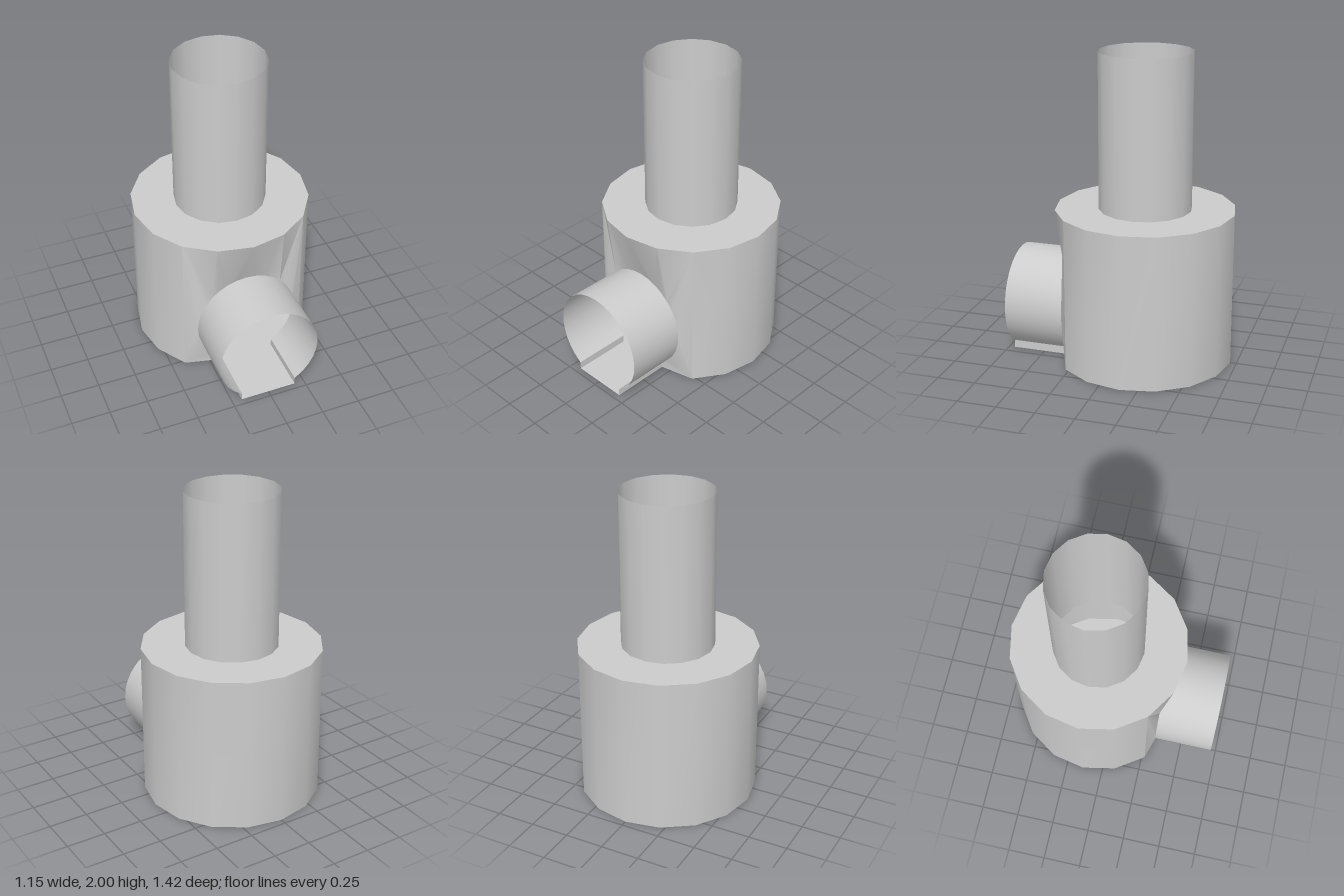
import * as THREE from 'three';
import { toCreasedNormals } from 'three/addons/utils/BufferGeometryUtils.js';

const SIDES = 16;
const DRUM_R = 0.575, NECK_R = 0.297, AXIS_Z = -0.135;
const SPOUT_R = 0.333, SPOUT_Y = 0.328, SPOUT_BACK = 0.325, SPOUT_FRONT = 0.71;
const FOOT_X = 0.185;
const LAST = 14; // outline index of the spout's floor corner

// Point on the drum outline; index 0 faces the front, counting towards +x
function drumPoint(i, y) {
  const a = (i / SIDES) * Math.PI * 2;
  return [DRUM_R * Math.sin(a), y, AXIS_Z + DRUM_R * Math.cos(a)];
}

// Point on the spout outline; index 0 is its top, the last one its floor corner
function spoutPoint(k, z) {
  if (Math.abs(k) === LAST) return [Math.sign(k) * FOOT_X, 0, z];
  const a = (k / 32) * Math.PI * 2;
  return [SPOUT_R * Math.sin(a), SPOUT_Y + SPOUT_R * Math.cos(a), z];
}

function surface(triangles, crease) {
  const g = new THREE.BufferGeometry();
  g.setAttribute('position', new THREE.Float32BufferAttribute(triangles.flat(2), 3));
  g.computeVertexNormals();
  return toCreasedNormals(g, crease);
}

// Round wall, open in front where it blends into the spout outline
function wallGeometry() {
  const tris = [];
  for (let i = 2; i < 14; i++) {
    const a = drumPoint(i, 0), b = drumPoint(i + 1, 0);
    const c = drumPoint(i + 1, 1), d = drumPoint(i, 1);
    tris.push([a, b, c], [a, c, d]);
  }
  // Each rim point fans out to a range of the spout outline
  const fans = [
    [drumPoint(0, 1), 0, 2],
    [drumPoint(1, 1), 2, 4],
    [drumPoint(2, 1), 4, 8],
    [drumPoint(2, 0), 8, LAST],
  ];
  const half = [];
  fans.forEach(([anchor, from, to], n) => {
    for (let k = from; k < to; k++) {
      half.push([anchor, spoutPoint(k, SPOUT_BACK), spoutPoint(k + 1, SPOUT_BACK)]);
    }
    if (n < fans.length - 1) half.push([anchor, spoutPoint(to, SPOUT_BACK), fans[n + 1][0]]);
  });
  const flip = ([x, y, z]) => [-x, y, z];
  for (const [a, b, c] of half) tris.push([a, b, c], [flip(a), flip(c), flip(b)]);
  return surface(tris, 0.5);
}

// Round spout with a narrow slot at its foot
function spoutGeometry() {
  const tris = [];
  for (let k = -LAST; k < LAST; k++) {
    const a = spoutPoint(k, SPOUT_FRONT), b = spoutPoint(k + 1, SPOUT_FRONT);
    const c = spoutPoint(k + 1, SPOUT_BACK), d = spoutPoint(k, SPOUT_BACK);
    tris.push([a, b, c], [a, c, d]);
  }
  return surface(tris, 0.5);
}

// Drum floor and spout floor in one flat sheet
function floorGeometry() {
  const outline = [
    [-FOOT_X, SPOUT_BACK], [-FOOT_X, SPOUT_FRONT],
    [FOOT_X, SPOUT_FRONT], [FOOT_X, SPOUT_BACK],
  ];
  for (let i = 2; i <= 14; i++) {
    const [x, , z] = drumPoint(i, 0);
    outline.push([x, z]);
  }
  const shape = new THREE.Shape(outline.map(([x, z]) => new THREE.Vector2(x, z)));
  return new THREE.ShapeGeometry(shape).rotateX(Math.PI / 2);
}

export function createModel() {
  const model = new THREE.Group();
  model.name = 'spoutedDrum';
  const grey = new THREE.MeshStandardMaterial({ color: 0xcccccc, side: THREE.DoubleSide });
  grey.name = 'grey';

  const add = (name, geometry) => {
    const mesh = new THREE.Mesh(geometry, grey);
    mesh.name = name;
    model.add(mesh);
  };

  add('drumWall', wallGeometry());
  add('drumTop', new THREE.RingGeometry(NECK_R, DRUM_R, SIDES, 1)
    .rotateX(-Math.PI / 2).translate(0, 1, AXIS_Z));
  add('neck', new THREE.CylinderGeometry(NECK_R, NECK_R, 1, SIDES, 1, true)
    .translate(0, 1.5, AXIS_Z));
  add('spout', spoutGeometry());
  add('floor', floorGeometry());
  return model;
}
